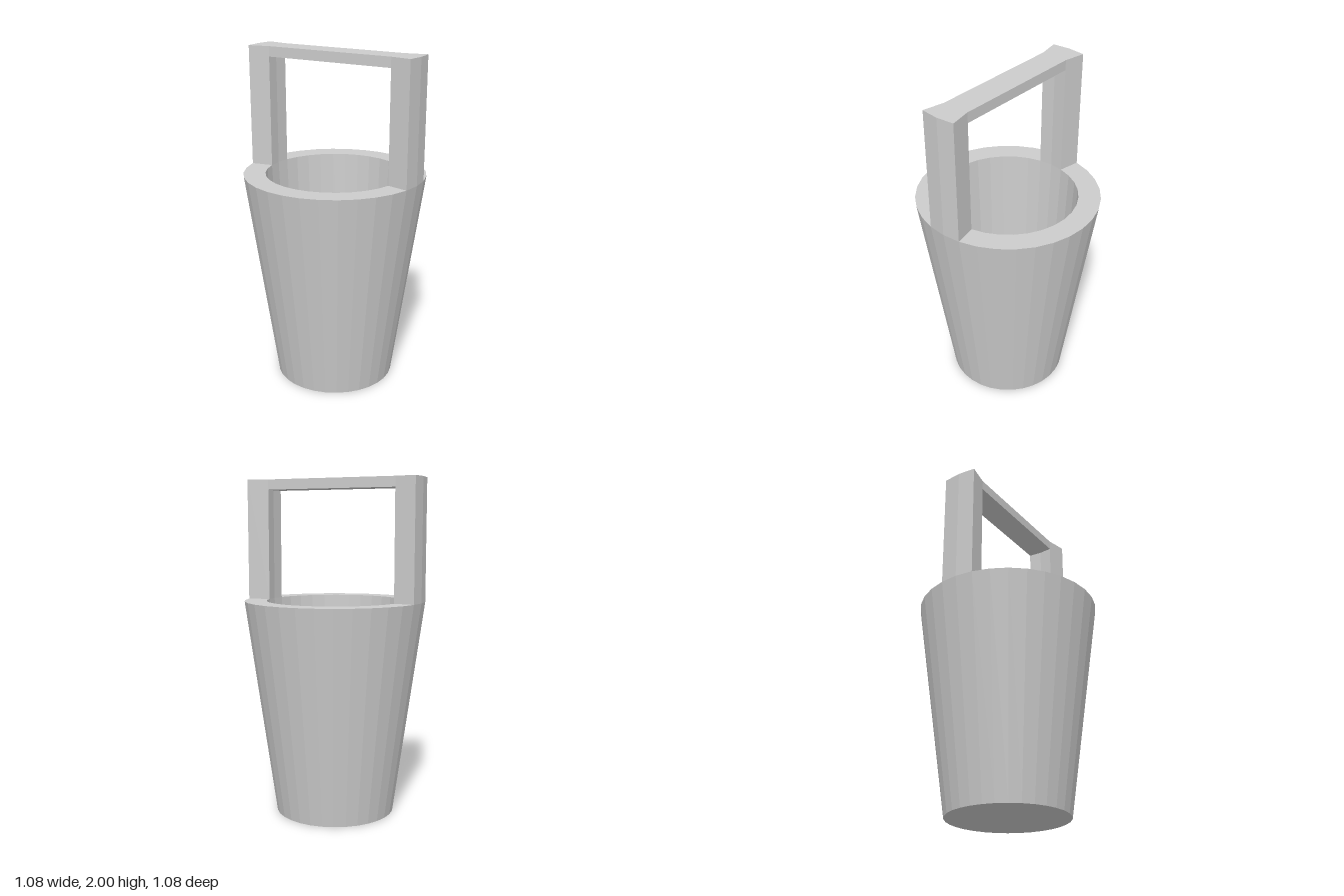
import * as THREE from 'three';

const SIDES = 32, STEP = (Math.PI * 2) / SIDES;
const RIM_Y = 1.285, TOP_Y = 2, BAR_Y = 1.94;
const OUTER = 0.54, INNER = 0.41, BASE = 0.357;

export function createModel() {
  const group = new THREE.Group();
  const material = new THREE.MeshStandardMaterial({ color: 0xcccccc, flatShading: true });

  const add = (name, geometry) => {
    const mesh = new THREE.Mesh(geometry, material);
    mesh.name = name;
    group.add(mesh);
  };

  // Extrude a plan outline upward between two heights
  const prism = (points, y0, y1) => {
    const shape = new THREE.Shape(points);
    const geometry = new THREE.ExtrudeGeometry(shape, { depth: y1 - y0, bevelEnabled: false });
    return geometry.rotateX(-Math.PI / 2).translate(0, y0, 0);
  };

  // Three points on the ring: one facet either side of the given angle
  const arc = (radius, angle) => [-1, 0, 1].map((i) => new THREE.Vector2(
    radius * Math.cos(angle + i * STEP), radius * Math.sin(angle + i * STEP)));

  // Tapered bucket with a thick rim and a hollow inside
  const profile = [[0, 0], [BASE, 0], [OUTER, RIM_Y], [INNER, RIM_Y], [BASE, 0.02], [0, 0.02]];
  add('bucket', new THREE.LatheGeometry(profile.map(([x, y]) => new THREE.Vector2(x, y)), SIDES));

  // Handle posts rise from two facets of the rim on each side
  for (const [name, angle] of [['leftPost', 0], ['rightPost', Math.PI]]) {
    add(name, prism([...arc(OUTER, angle), ...arc(INNER, angle).reverse()], RIM_Y, TOP_Y));
  }

  // Crossbar joins the inner faces of the posts
  add('handleBar', prism([...arc(INNER, 0), ...arc(INNER, Math.PI)], BAR_Y, TOP_Y));

  return group;
}
